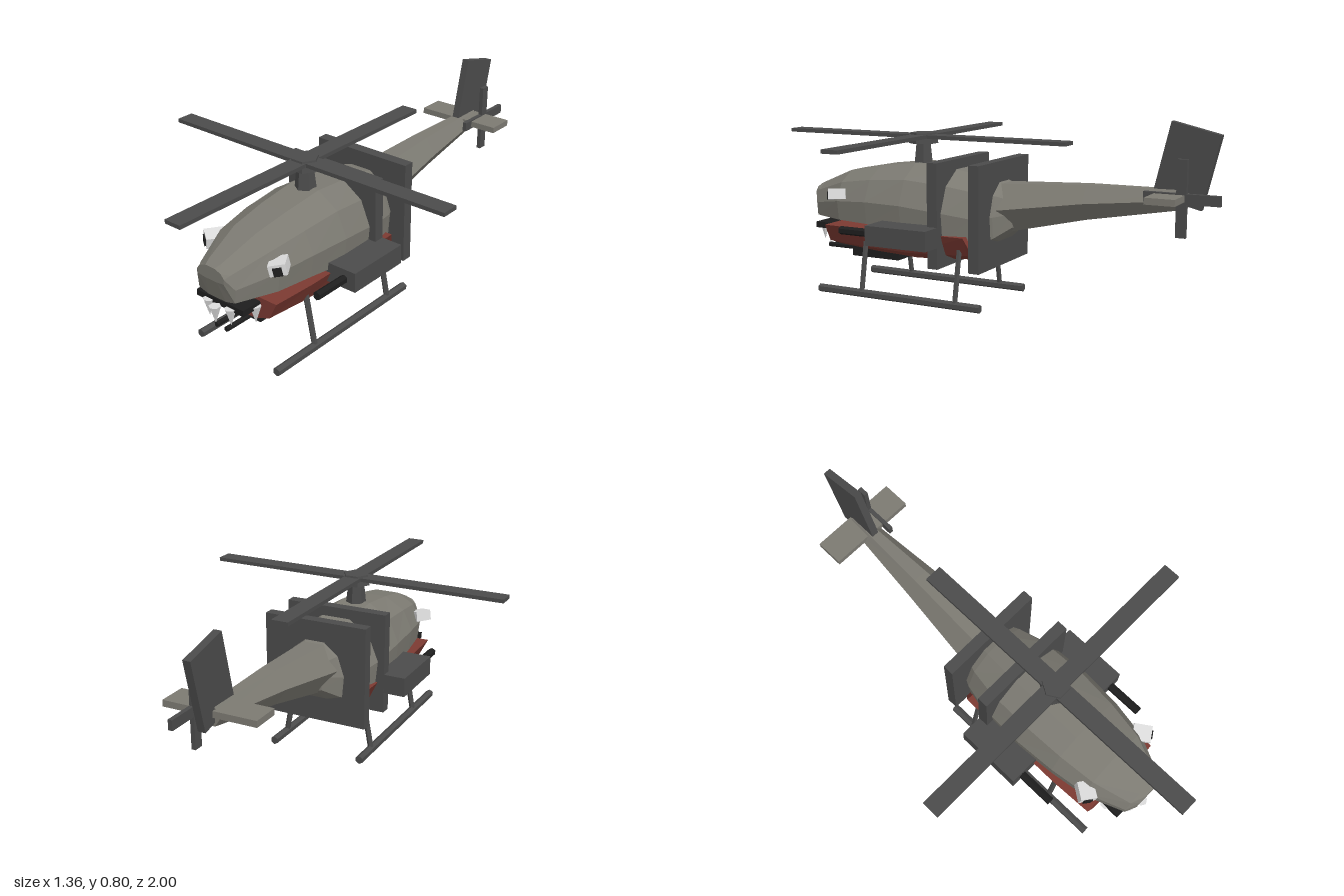
import * as THREE from 'three';

const mat = (name, color, flatShading = true) => {
  const m = new THREE.MeshStandardMaterial({ color, flatShading });
  m.name = name;
  return m;
};

// Closed faceted hull through cross-sections running from front to back.
function loft(rings) {
  const pos = [];
  const tri = (...p) => p.forEach((v) => pos.push(v.x, v.y, v.z));
  const n = rings[0].length;
  const centre = (r) => r.reduce((s, v) => s.add(v), new THREE.Vector3()).divideScalar(n);
  for (let i = 0; i < rings.length - 1; i++) {
    for (let j = 0; j < n; j++) {
      const k = (j + 1) % n;
      const a = rings[i][j], b = rings[i][k], c = rings[i + 1][k], d = rings[i + 1][j];
      tri(a, d, c);
      tri(a, c, b);
    }
  }
  const front = rings[0], back = rings[rings.length - 1];
  const cf = centre(front), cb = centre(back);
  for (let j = 0; j < n; j++) {
    const k = (j + 1) % n;
    tri(cf, front[j], front[k]);
    tri(cb, back[k], back[j]);
  }
  const g = new THREE.BufferGeometry();
  g.setAttribute('position', new THREE.Float32BufferAttribute(pos, 3));
  g.computeVertexNormals();
  return g;
}

// Mirrored cross-section: half profile of [width factor, height factor], bottom to top.
function section(half, z, w, bottom, top) {
  const right = half.map(([fx, fy]) => new THREE.Vector3(fx * w, bottom + fy * (top - bottom), z));
  const left = right.slice().reverse().map((v) => new THREE.Vector3(-v.x, v.y, z));
  return right.concat(left);
}

export function createModel() {
  const root = new THREE.Group();
  root.name = 'helicopter';
  const grey = mat('hullGrey', 0x7c7a72);
  const dark = mat('darkGrey', 0x4b4b4b);
  const black = mat('black', 0x1e1e1e);
  const red = mat('jawRed', 0x7c3a32);
  const white = mat('white', 0xdcdcdc);

  const add = (name, geo, material, x = 0, y = 0, z = 0, parent = root) => {
    const m = new THREE.Mesh(geo, material);
    m.name = name;
    m.position.set(x, y, z);
    parent.add(m);
    return m;
  };
  const box = (w, h, d) => new THREE.BoxGeometry(w, h, d);
  const rod = (name, a, b, r, material, sides = 6) => {
    const p = new THREE.Vector3(...a), q = new THREE.Vector3(...b);
    const dir = q.clone().sub(p);
    const m = add(name, new THREE.CylinderGeometry(r, r, dir.length(), sides), material);
    m.position.copy(p).add(q).multiplyScalar(0.5);
    m.quaternion.setFromUnitVectors(new THREE.Vector3(0, 1, 0), dir.normalize());
    return m;
  };

  // Fuselage
  const hullShape = [[0.45, 0], [0.94, 0.08], [1, 0.45], [0.78, 0.8], [0.32, 1]];
  const hull = [
    [0.845, 0.07, 0.4, 0.455], [0.82, 0.1, 0.31, 0.465], [0.66, 0.17, 0.305, 0.53],
    [0.5, 0.195, 0.3, 0.56], [0.32, 0.207, 0.28, 0.582], [0.12, 0.2, 0.26, 0.567],
    [0, 0.17, 0.245, 0.545], [-0.08, 0.13, 0.28, 0.52], [-0.14, 0.07, 0.33, 0.48],
  ];
  add('fuselage', loft(hull.map((s) => section(hullShape, ...s))), grey);

  // Red lower jaw
  const jawShape = [[0.42, 0], [0.8, 0.27], [1, 1]];
  const jaw = [
    [0.71, 0.195, 0.2, 0.302], [0.52, 0.203, 0.185, 0.302], [0.3, 0.203, 0.175, 0.305],
    [0.02, 0.2, 0.195, 0.305], [-0.015, 0.17, 0.2, 0.22],
  ];
  add('lowerJaw', loft(jaw.map((s) => section(jawShape, ...s))), red);

  // Gum bar and curved row of teeth
  add('gumBar', box(0.245, 0.026, 0.09), black, 0, 0.283, 0.765);
  for (let i = -2; i <= 2; i++) {
    const tooth = add('tooth', new THREE.ConeGeometry(0.024, 0.075, 6), white,
      i * 0.057, 0.245, 0.835 - 0.024 * i * i);
    tooth.rotation.x = Math.PI;
  }

  // Tail boom
  const boomShape = [[0.4, 0], [1, 0.5], [0.4, 1]];
  const boom = [
    [-0.03, 0.12, 0.3, 0.515], [-0.45, 0.078, 0.395, 0.535], [-0.85, 0.04, 0.465, 0.54],
  ];
  add('tailBoom', loft(boom.map((s) => section(boomShape, ...s))), grey);

  // Tail surfaces and tail rotor
  add('tailplane', box(0.39, 0.026, 0.12), grey, 0, 0.517, -0.803);
  const fin = add('tailFin', box(0.032, 0.298, 0.2), dark, 0, 0.633, -0.848);
  fin.rotation.x = -0.235;
  add('tailRotorBlade', box(0.018, 0.04, 0.3), dark, 0.066, 0.515, -0.85);
  add('tailRotorBlade', box(0.018, 0.3, 0.04), dark, 0.066, 0.515, -0.85);
  rod('tailRotorShaft', [0, 0.515, -0.85], [0.07, 0.515, -0.85], 0.012, dark);

  // Main rotor
  add('rotorMast', new THREE.CylinderGeometry(0.035, 0.046, 0.1, 6), dark, 0, 0.61, 0.32);
  add('rotorHub', new THREE.CylinderGeometry(0.056, 0.064, 0.046, 6), dark, 0, 0.685, 0.32)
    .rotation.y = Math.PI / 6;
  add('rotorBlades', box(1.36, 0.016, 0.075), dark, 0, 0.692, 0.32);
  add('rotorBlades', box(0.075, 0.016, 1.36), dark, 0, 0.692, 0.32);

  // Two broad frame plates across the fuselage
  for (const z of [0.145, -0.047]) add('framePlate', box(0.46, 0.44, 0.047), dark, 0, 0.39, z);

  // Chin gun
  add('chinGunHousing', box(0.116, 0.052, 0.24), black, 0, 0.17, 0.54);

  // Paired parts
  for (const s of [-1, 1]) {
    rod('chinGunBarrel', [s * 0.026, 0.176, 0.64], [s * 0.026, 0.176, 0.81], 0.011, black);

    add('weaponPod', box(0.165, 0.084, 0.29), dark, s * 0.242, 0.303, 0.267);
    rod('podBarrel', [s * 0.27, 0.303, 0.38], [s * 0.27, 0.303, 0.572], 0.018, black);

    // Landing skid
    rod('skid', [s * 0.205, 0.02, 0.735], [s * 0.205, 0.02, -0.063], 0.018, dark);
    for (const z of [0.515, 0.055]) {
      rod('skidLeg', [s * 0.204, 0.03, z], [s * 0.163, 0.25, z], 0.012, dark);
    }

    // Eye with pupil
    const eye = new THREE.Group();
    eye.name = 'eye';
    eye.position.set(s * 0.168, 0.437, 0.66);
    eye.rotation.set(0, s * 0.6, s * 0.2);
    root.add(eye);
    add('eyeWhite', box(0.068, 0.046, 0.075), white, 0, 0, 0, eye);
    add('pupil', box(0.034, 0.034, 0.009), black, 0, -0.005, 0.039, eye);
  }
  return root;
}
